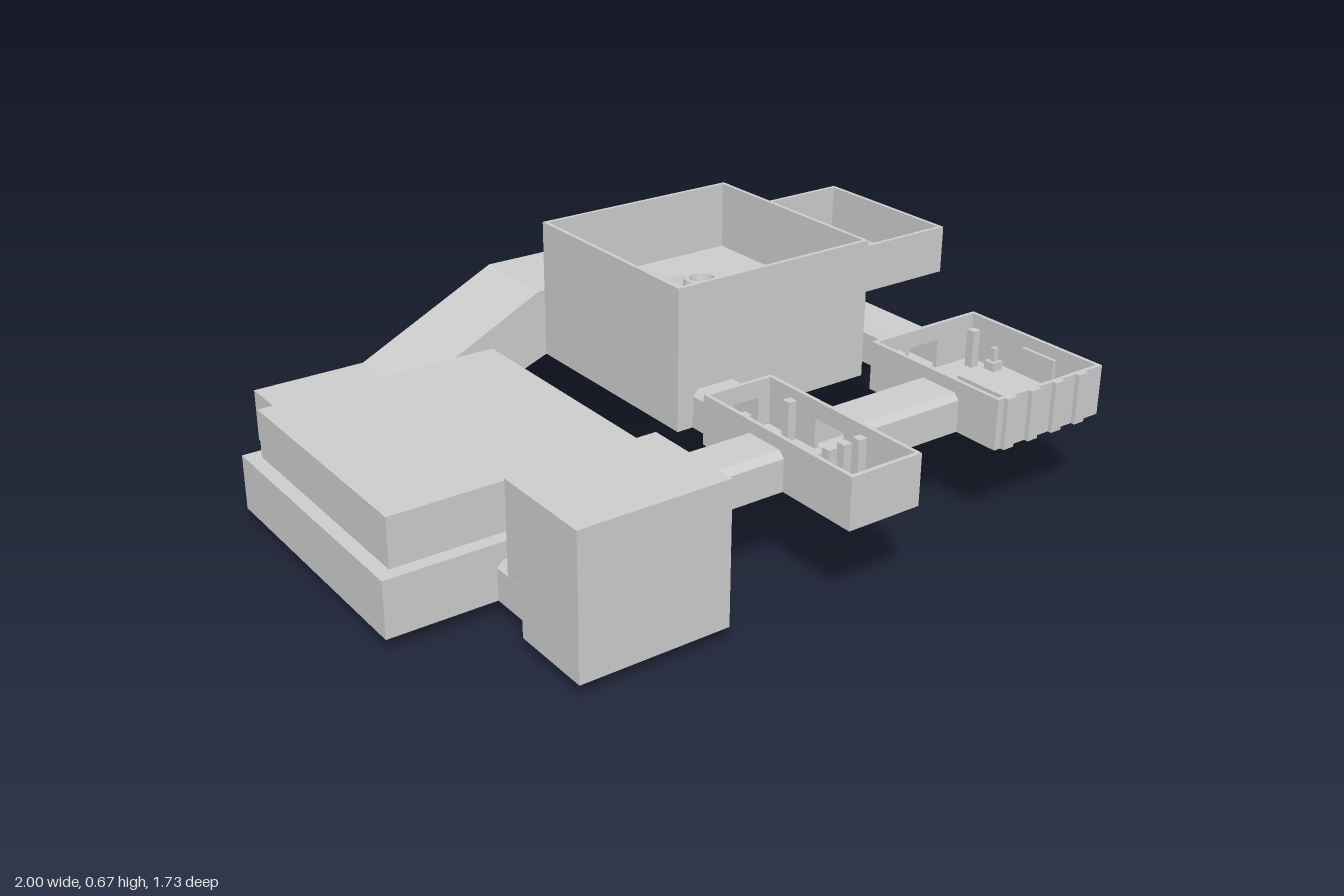
import * as THREE from 'three';

const mat = new THREE.MeshStandardMaterial({ color: 0xcccccc, flatShading: true, side: THREE.DoubleSide });

export function createModel() {
  const model = new THREE.Group();

  const add = (name, geometry, parent = model) => {
    const mesh = new THREE.Mesh(geometry, mat);
    mesh.name = name;
    parent.add(mesh);
    return mesh;
  };
  // Box given by its extents
  const box = (name, x0, x1, y0, y1, z0, z1, parent) =>
    add(name, new THREE.BoxGeometry(x1 - x0, y1 - y0, z1 - z0), parent)
      .position.set((x0 + x1) / 2, (y0 + y1) / 2, (z0 + z1) / 2);

  // Profile in x/y, extruded from z0 to z1
  const profile = (name, points, z0, z1) => {
    const shape = new THREE.Shape(points.map(p => new THREE.Vector2(...p)));
    const g = new THREE.ExtrudeGeometry(shape, { depth: z1 - z0, bevelEnabled: false });
    return add(name, g.translate(0, 0, z0));
  };

  // Open-topped room; doors are { side, from, to } with side one of left, right, front, back
  const openRoom = (name, x0, x1, y0, y1, z0, z1, floorY, doors = []) => {
    const room = new THREE.Group();
    room.name = name;
    model.add(room);
    const t = 0.012;
    box('floor', x0 + t, x1 - t, y0, floorY, z0 + t, z1 - t, room);
    for (const side of ['left', 'right', 'front', 'back']) {
      const alongX = side === 'front' || side === 'back';
      const [a, b] = alongX ? [x0, x1] : [z0 + t, z1 - t];
      const fixed = { left: x1 - t, right: x0, front: z1 - t, back: z0 }[side];
      const piece = (p, q, lo, hi) => alongX
        ? box('wall', p, q, lo, hi, fixed, fixed + t, room)
        : box('wall', fixed, fixed + t, lo, hi, p, q, room);
      const door = doors.find(d => d.side === side);
      if (!door) { piece(a, b, y0, y1); continue; }
      piece(a, door.from, y0, y1);
      piece(door.to, b, y0, y1);
      piece(door.from, door.to, y0 + 0.095, y1);
      piece(door.from, door.to, y0, floorY);
    }
    return room;
  };

  // Hollow passage with chamfered upper edges, running along x or z
  const passage = (name, axis, from, to, c0, c1, y0) => {
    const w = (c1 - c0) / 2, h = 0.11, c = 0.018;
    const outline = (k) => [[-w + k, k], [w - k, k], [w - k, h - c - k / 2], [w - c - k / 2, h - k],
      [-w + c + k / 2, h - k], [-w + k, h - c - k / 2]].map(p => new THREE.Vector2(...p));
    const shape = new THREE.Shape(outline(0));
    shape.holes.push(new THREE.Path(outline(0.01)));
    const g = new THREE.ExtrudeGeometry(shape, { depth: to - from, bevelEnabled: false });
    const mid = (c0 + c1) / 2;
    if (axis === 'x') g.rotateY(Math.PI / 2).translate(from, y0, mid);
    else g.translate(mid, y0, from);
    add(name, g);
    // Sunken floor strip
    const lo = c0 + 0.02, hi = c1 - 0.02;
    if (axis === 'x') box(name + 'Base', from, to, y0 - 0.01, y0, lo, hi);
    else box(name + 'Base', lo, hi, y0 - 0.01, y0, from, to);
  };

  // Large low chamber with raised ceiling and sunken pit
  box('lowChamber', -1, -0.2, 0.04, 0.2, -0.48, 0.33);
  box('raisedCeiling', -0.96, -0.24, 0.2, 0.34, -0.44, 0.29);
  box('sunkenPit', -0.76, -0.45, 0, 0.04, -0.21, 0.09);
  box('wallPanel', -0.96, -0.84, 0.06, 0.17, -0.49, -0.48);
  box('wallPanelInset', -0.945, -0.855, 0.075, 0.155, -0.495, -0.49);
  for (const [x, z, sx] of [[-0.84, -0.28, 1], [-0.36, -0.28, -1]]) {
    box('floorTrench', x - 0.01, x + 0.01, 0.02, 0.04, z - 0.04, z + 0.11);
    const end = x + sx * 0.12;
    box('floorTrench', Math.min(x, end), Math.max(x, end), 0.02, 0.04, z - 0.05, z - 0.03);
  }

  // Tall corner chamber whose rear strip overhangs on a slope
  box('cornerChamber', -0.73, -0.3, 0.04, 0.44, 0.51, 0.755);
  profile('cornerOverhang', [[-0.73, 0.18], [-0.47, 0.18], [-0.3, 0.24], [-0.3, 0.44], [-0.73, 0.44]], 0.45, 0.51);
  for (const x of [-0.68, -0.56, -0.42]) box('floorRecess', x, x + 0.07, 0.025, 0.04, 0.53, 0.6);

  // Rear ramp hall stepping up towards the left
  profile('rampHall', [[-0.8, 0.04], [-0.43, 0.04], [0.14, 0.26], [0.615, 0.26],
    [0.615, 0.42], [0, 0.42], [-0.45, 0.2], [-0.8, 0.2]], -0.86, -0.57);
  for (const x of [-0.675, -0.645]) {
    const knob = add('wallKnob', new THREE.CylinderGeometry(0.01, 0.01, 0.012, 8).rotateX(Math.PI / 2));
    knob.position.set(x, 0.145, -0.862);
  }

  // Main hall with a round dais
  openRoom('mainHall', -0.035, 0.62, 0.26, 0.67, -0.48, 0.18, 0.47);
  box('mainHallBase', 0, 0.585, 0.25, 0.26, -0.445, 0.145);
  const dais = [[0.16, 0], [0.155, 0.012], [0.09, 0.025], [0.055, 0.035], [0.05, 0.06],
    [0.037, 0.06], [0.03, 0.02], [0, 0.02]].map(p => new THREE.Vector2(...p));
  add('dais', new THREE.LatheGeometry(dais, 32)).position.set(0.29, 0.47, -0.15);
  box('hallStep', 0.225, 0.355, 0.47, 0.5, 0.08, 0.168);
  box('hallStepRail', 0.23, 0.24, 0.5, 0.53, 0.11, 0.14);

  // Floating side balcony
  openRoom('sideBalcony', 0.66, 1, 0.47, 0.61, -0.4, 0.09, 0.482);

  // Narrow gallery with posts and a stepped pedestal
  openRoom('gallery', -0.025, 0.2, 0.26, 0.405, 0.28, 0.86, 0.268, [
    { side: 'left', from: 0.48, to: 0.59 },
    { side: 'right', from: 0.48, to: 0.59 },
    { side: 'back', from: 0.03, to: 0.15 },
  ]);
  const post = (x, z, top, s = 0.013) => box('post', x - s, x + s, 0.265, top, z - s, z + s);
  for (const x of [0.02, 0.07, 0.12, 0.17]) post(x, 0.67, 0.38);
  for (const x of [0.02, 0.17]) post(x, 0.395, 0.38);
  [0.05, 0.037, 0.025, 0.012].forEach((s, i) =>
    box('pedestalStep', 0.093 - s, 0.093 + s, 0.265 + i * 0.015, 0.285 + i * 0.015, 0.785 - s, 0.785 + s));
  box('galleryBase', 0.03, 0.145, 0.25, 0.26, 0.33, 0.8);

  // Square room with a platform and outer ribs
  openRoom('ribbedRoom', 0.575, 0.97, 0.26, 0.405, 0.265, 0.75, 0.268, [
    { side: 'right', from: 0.48, to: 0.59 },
    { side: 'back', from: 0.71, to: 0.82 },
  ]);
  for (const x of [0.625, 0.915]) post(x, 0.325, 0.38);
  box('platform', 0.805, 0.958, 0.265, 0.285, 0.38, 0.69);
  for (const z of [0.405, 0.665]) {
    post(0.92, z, 0.31, 0.018);
    post(0.92, z, 0.35, 0.008);
  }
  box('alcovePanel', 0.948, 0.96, 0.29, 0.37, 0.48, 0.6);
  for (const x of [0.615, 0.705, 0.795, 0.885]) box('outerRib', x - 0.018, x + 0.018, 0.26, 0.405, 0.75, 0.762);
  box('ribbedRoomBase', 0.64, 0.96, 0.25, 0.26, 0.31, 0.7);

  // Connecting passages
  passage('lowFrontPassage', 'z', 0.33, 0.51, -0.69, -0.54, 0.04);
  passage('lowRearPassage', 'z', -0.57, -0.48, -0.675, -0.515, 0.04);
  passage('highRearPassage', 'z', -0.57, -0.48, 0.415, 0.57, 0.26);
  passage('hallPassage', 'z', 0.18, 0.28, 0.015, 0.165, 0.26);
  passage('cornerPassage', 'x', -0.3, -0.025, 0.455, 0.61, 0.26);
  passage('roomPassage', 'x', 0.2, 0.575, 0.455, 0.61, 0.26);
  passage('sidePassage', 'z', -0.24, 0.265, 0.69, 0.845, 0.26);
  passage('sidePassageTurn', 'x', 0.62, 0.7, -0.24, -0.09, 0.26);

  return model;
}
